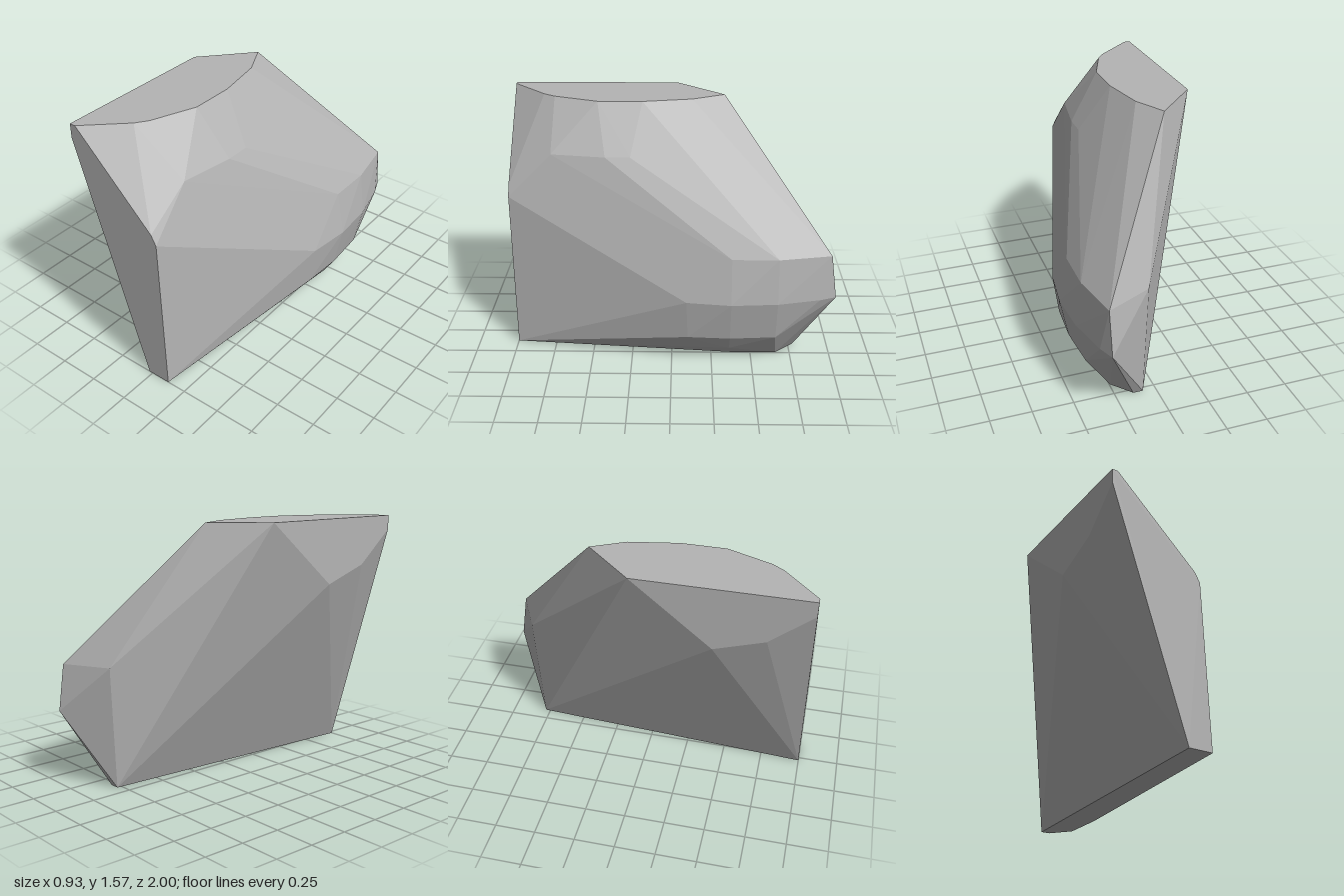
import * as THREE from 'three';
import { ConvexGeometry } from 'three/addons/geometries/ConvexGeometry.js';

// Faceted rock shard: a convex body with flat cuts at its top, base, front and left side.
export function createModel() {
  const group = new THREE.Group();
  group.name = 'rockShard';
  const stone = new THREE.MeshStandardMaterial({ color: 0xb4b4b4 });
  stone.name = 'grey stone';

  // Horizontal rings: height, then [x, z] corners
  const rings = [
    // flat base
    [0, [[-0.025, 1], [0.125, 1], [0.245, -0.38], [0.245, -0.66], [0.14, -0.78], [0.08, -0.78]]],
    // rounded lower right flank
    [0.09, [[0.34, -0.36]]],
    [0.12, [[0.33, -0.64]]],
    [0.2, [[0.395, -0.1], [0.41, -0.36], [0.39, -0.64], [0.3, -0.78]]],
    // widest ring and rear tip
    [0.46, [[0.43, -0.09], [0.463, -0.36], [0.445, -0.64], [0.385, -0.9], [0.345, -1]]],
    // upper shoulder and rear ridge
    [0.74, [[0.41, -0.36], [0.41, -0.64], [0.35, -0.96], [0.07, -0.82]]],
    // front cut corners
    [1.01, [[0.107, 1]]],
    [1.07, [[0.075, 1]]],
    // left cut, lower rim
    [1.17, [[-0.467, 0.45]]],
    [1.27, [[-0.467, 0.75]]],
    [1.48, [[-0.467, 1]]],
    // upper right facets
    [1.28, [[0.09, 0.73], [0.14, 0.4], [0.14, 0.25]]],
    // flat top
    [1.57, [[-0.467, -0.03], [-0.2, -0.32], [-0.1, -0.12], [-0.045, 0.18], [-0.045, 0.45],
      [-0.15, 0.72], [-0.2, 0.79], [-0.43, 1], [-0.467, 1]]],
  ];
  const points = rings.flatMap(([y, corners]) => corners.map(([x, z]) => new THREE.Vector3(x, y, z)));

  const rock = new THREE.Mesh(new ConvexGeometry(points), stone);
  rock.name = 'rock';
  group.add(rock);
  return group;
}
